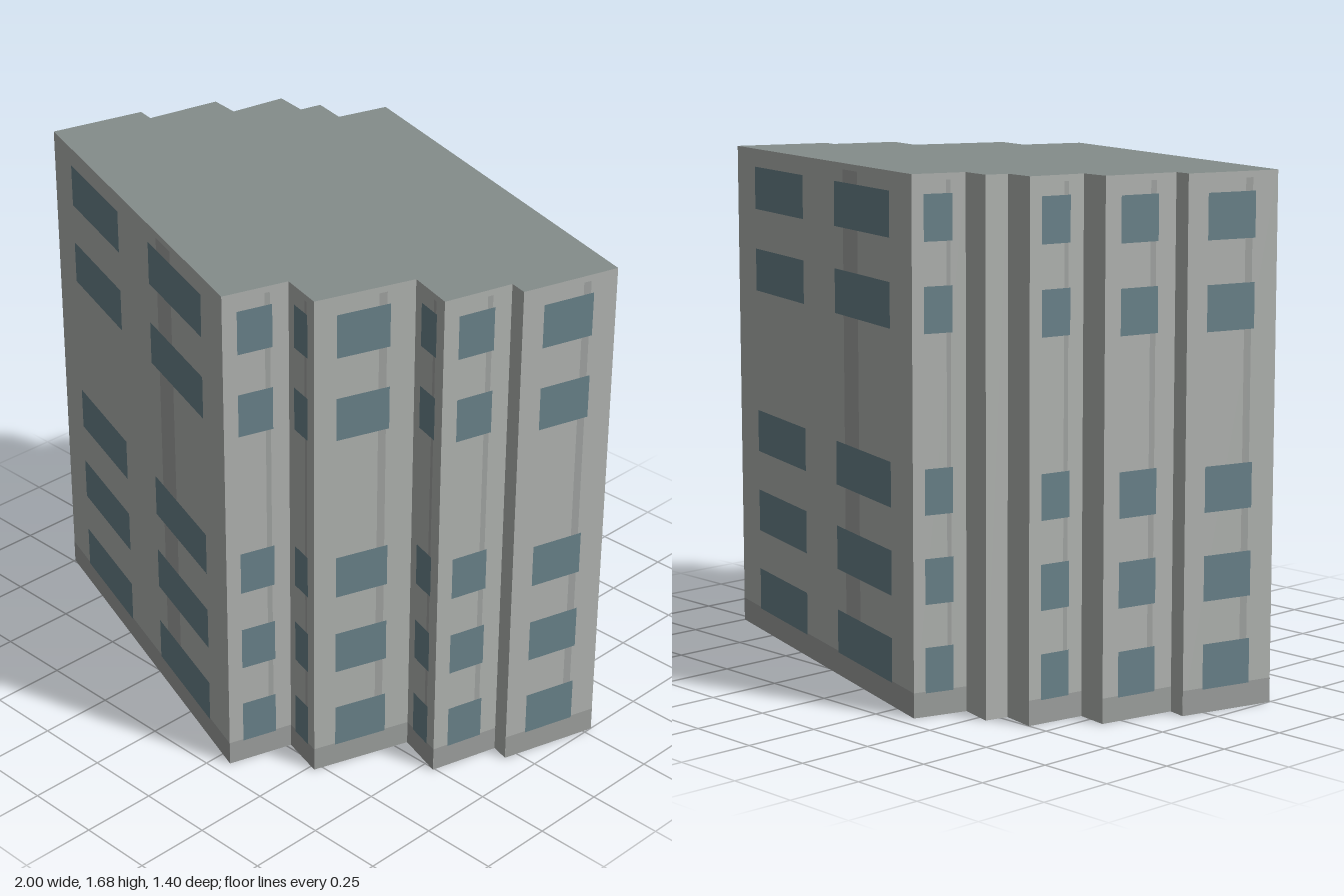
import * as THREE from 'three';

const HEIGHT = 1.68, STOREY = 0.28;

// Footprint corners [x, z]; each wall runs left to right as seen from outside
const FOOTPRINT = [
  [-1.0, 0.243], [0.305, 0.697], [0.37, 0.485], [0.52, 0.527], [0.627, 0.205],
  [0.79, 0.256], [0.85, 0.027], [0.91, 0.043], [1.0, -0.28], [-0.37, -0.698],
  [-0.42, -0.523], [-0.54, -0.553], [-0.557, -0.477], [-0.675, -0.5],
  [-0.705, -0.303], [-0.813, -0.32], [-0.86, -0.063], [-0.923, -0.077],
];

const mat = (color, side = THREE.FrontSide) =>
  new THREE.MeshStandardMaterial({ color, side, flatShading: true });
const MATS = {
  wall: mat(0xb1b4b1, THREE.DoubleSide),
  roof: mat(0x848d8b, THREE.DoubleSide),
  glass: mat(0x69828a),
  plinth: mat(0x9da09e),
  strip: mat(0xa1a4a2),
};

// Flat panel on a wall, from (x0, y0) to (x1, y1) in wall coordinates
function panel(name, material, x0, x1, y0, y1, lift) {
  const mesh = new THREE.Mesh(new THREE.PlaneGeometry(x1 - x0, y1 - y0), material);
  mesh.position.set((x0 + x1) / 2, (y0 + y1) / 2, lift);
  mesh.name = name;
  return mesh;
}

// One wall with its plinth band, vertical strip and windows
function facade([ax, az], [bx, bz]) {
  const w = Math.hypot(bx - ax, bz - az);
  const group = new THREE.Group();
  group.name = 'facade';
  group.position.set(ax, 0, az);
  group.rotation.y = Math.atan2(az - bz, bx - ax);
  group.add(panel('wall', MATS.wall, 0, w, 0, HEIGHT, 0));

  // Narrow step returns stay blank
  if (w < 0.14) return group;

  group.add(panel('plinth', MATS.plinth, 0, w, 0, 0.08, 0.0006));
  group.add(panel('wallStrip', MATS.strip, 0.638 * w, 0.717 * w, 0.08, 1.66, 0.0006));

  // Long walls have two window columns, short ones have one
  const columns = w > 1 ? [[0.113, 0.408], [0.59, 0.888]] : [[0.22, 0.75]];
  for (const floor of [0, 1, 2, 4, 5]) {
    const y = floor * STOREY;
    for (const [t0, t1] of columns) {
      group.add(panel('window', MATS.glass, t0 * w, t1 * w, y + 0.075, y + 0.219, 0.0012));
    }
  }
  return group;
}

export function createModel() {
  const model = new THREE.Group();
  model.name = 'apartmentBlock';

  // Ring of walls, open underneath
  FOOTPRINT.forEach((a, i) => model.add(facade(a, FOOTPRINT[(i + 1) % FOOTPRINT.length])));

  // Flat roof
  const shape = new THREE.Shape(FOOTPRINT.map(([x, z]) => new THREE.Vector2(x, -z)));
  const roof = new THREE.Mesh(new THREE.ShapeGeometry(shape), MATS.roof);
  roof.rotation.x = -Math.PI / 2;
  roof.position.y = HEIGHT;
  roof.name = 'roof';
  model.add(roof);
  return model;
}
